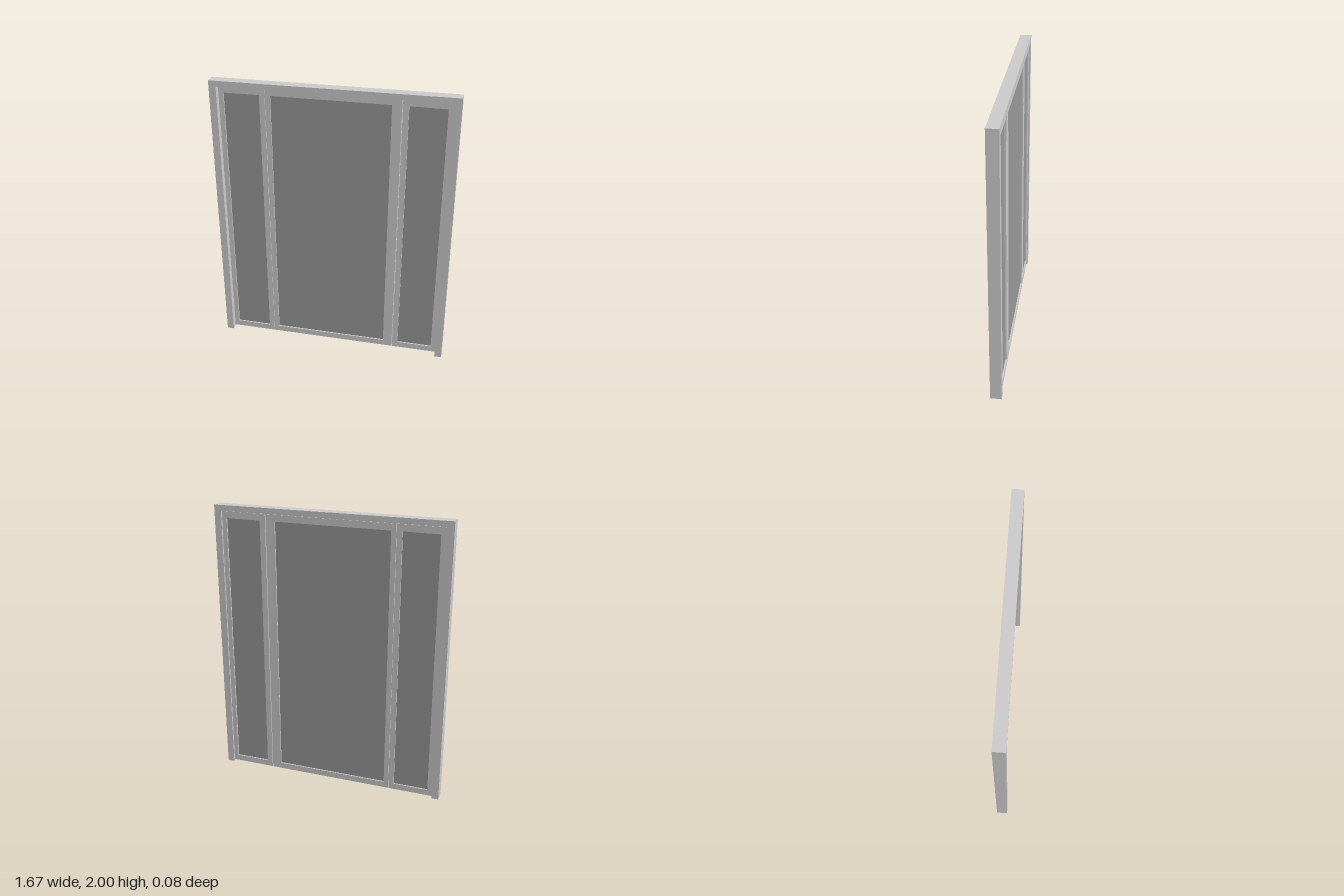
import * as THREE from 'three';

const frameMaterial = new THREE.MeshStandardMaterial({ color: 0xcccccc });
const glassMaterial = new THREE.MeshStandardMaterial({ color: 0x999999 });

// Box given by its lower and upper corners
function box(name, [x0, y0, z0], [x1, y1, z1], material = frameMaterial) {
  const mesh = new THREE.Mesh(new THREE.BoxGeometry(x1 - x0, y1 - y0, z1 - z0), material);
  mesh.position.set((x0 + x1) / 2, (y0 + y1) / 2, (z0 + z1) / 2);
  mesh.name = name;
  return mesh;
}

// Traces a rectangle on a shape or path
function rectangle(path, x0, y0, x1, y1) {
  path.moveTo(x0, y0);
  path.lineTo(x1, y0);
  path.lineTo(x1, y1);
  path.lineTo(x0, y1);
  path.closePath();
  return path;
}

// Glazed leaf: stiles and rails cut from one sheet, with a recessed pane
function createLeaf(name, x0, x1, paneX0, paneX1) {
  const bottom = 0.012, top = 1.957, paneBottom = 0.055, paneTop = 1.91;
  const back = -0.03, depth = 0.03;
  const leaf = new THREE.Group();
  leaf.name = name;

  const shape = rectangle(new THREE.Shape(), x0, bottom, x1, top);
  shape.holes.push(rectangle(new THREE.Path(), paneX0, paneBottom, paneX1, paneTop));
  const surround = new THREE.Mesh(
    new THREE.ExtrudeGeometry(shape, { depth, bevelEnabled: false }), frameMaterial);
  surround.position.z = back;
  surround.name = name + 'Surround';

  const pane = box(name + 'Pane', [paneX0, paneBottom, -0.02], [paneX1, paneTop, -0.01], glassMaterial);
  leaf.add(surround, pane);
  return leaf;
}

export function createModel() {
  const model = new THREE.Group();
  model.name = 'glazedDoorway';

  // Outer frame: one head over two jambs
  const outer = 0.835, inner = 0.785, headBottom = 1.96, half = 0.04;
  const shape = new THREE.Shape();
  [[-outer, 0], [-inner, 0], [-inner, headBottom], [inner, headBottom],
    [inner, 0], [outer, 0], [outer, 2], [-outer, 2]]
    .forEach(([x, y], i) => (i ? shape.lineTo(x, y) : shape.moveTo(x, y)));
  shape.closePath();
  const frame = new THREE.Mesh(
    new THREE.ExtrudeGeometry(shape, { depth: 2 * half, bevelEnabled: false }), frameMaterial);
  frame.position.z = -half;
  frame.name = 'outerFrame';
  model.add(frame);

  // Central door between two narrow sidelights
  model.add(
    createLeaf('rightSidelight', -0.784, -0.462, -0.75, -0.5),
    createLeaf('door', -0.46, 0.456, -0.425, 0.39),
    createLeaf('leftSidelight', 0.46, 0.784, 0.5, 0.75));
  return model;
}
